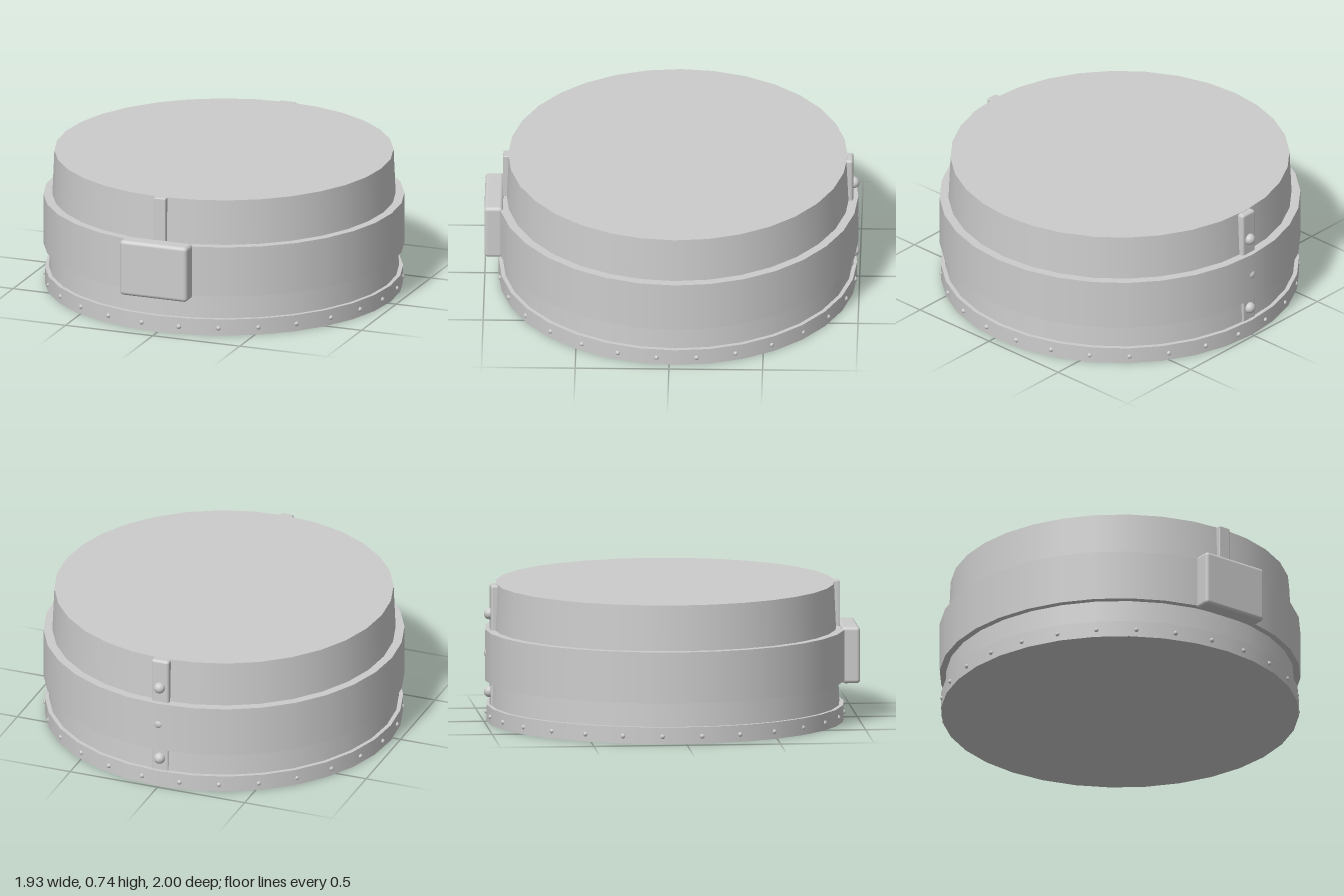
import * as THREE from 'three';
import { RoundedBoxGeometry } from 'three/addons/geometries/RoundedBoxGeometry.js';

const SIDES = 32;
const AXIS_Z = -0.03; // drum axis, set back to balance the front block

export function createModel() {
  const model = new THREE.Group();
  model.name = 'bandedDrum';
  const grey = new THREE.MeshStandardMaterial({ color: 0xcccccc });
  grey.name = 'plain grey';

  function add(name, geometry, x, y, z) {
    const mesh = new THREE.Mesh(geometry, grey);
    mesh.name = name;
    mesh.position.set(x, y, z);
    model.add(mesh);
    return mesh;
  }
  // Closed round section between two heights
  function round(name, rTop, rBottom, y0, y1) {
    add(name, new THREE.CylinderGeometry(rTop, rBottom, y1 - y0, SIDES), 0, (y0 + y1) / 2, AXIS_Z);
  }
  // Rounded block given by its limits
  function block(name, halfWidth, y0, y1, z0, z1, radius) {
    add(name, new RoundedBoxGeometry(halfWidth * 2, y1 - y0, z1 - z0, 3, radius), 0, (y0 + y1) / 2, (z0 + z1) / 2);
  }

  // Tapered body, foot hoop and wide middle band
  round('body', 0.905, 0.937, 0.02, 0.74);
  round('footHoop', 0.956, 0.956, 0, 0.09);
  round('middleBand', 0.963, 0.963, 0.22, 0.495);

  // Front block with the upright rib above it
  block('frontBlock', 0.193, 0.205, 0.51, 0.9, 1, 0.02);
  block('frontRib', 0.034, 0.25, 0.74, 0.84, 0.902, 0.006);

  // Rear strap and its three domed rivets
  block('rearStrap', 0.05, 0.05, 0.738, -0.966, -0.88, 0.014);
  for (const y of [0.16, 0.37, 0.58]) {
    add('strapRivet', new THREE.SphereGeometry(0.031, 16, 10), 0, y, -0.969);
  }

  // Small rivets around the foot hoop
  const rivet = new THREE.SphereGeometry(0.013, 10, 8);
  const count = 28;
  for (let i = 0; i < count; i++) {
    const a = ((i + 0.5) / count) * Math.PI * 2 + 0.01;
    add('hoopRivet', rivet, Math.sin(a) * 0.951, 0.04, AXIS_Z + Math.cos(a) * 0.951);
  }
  return model;
}
